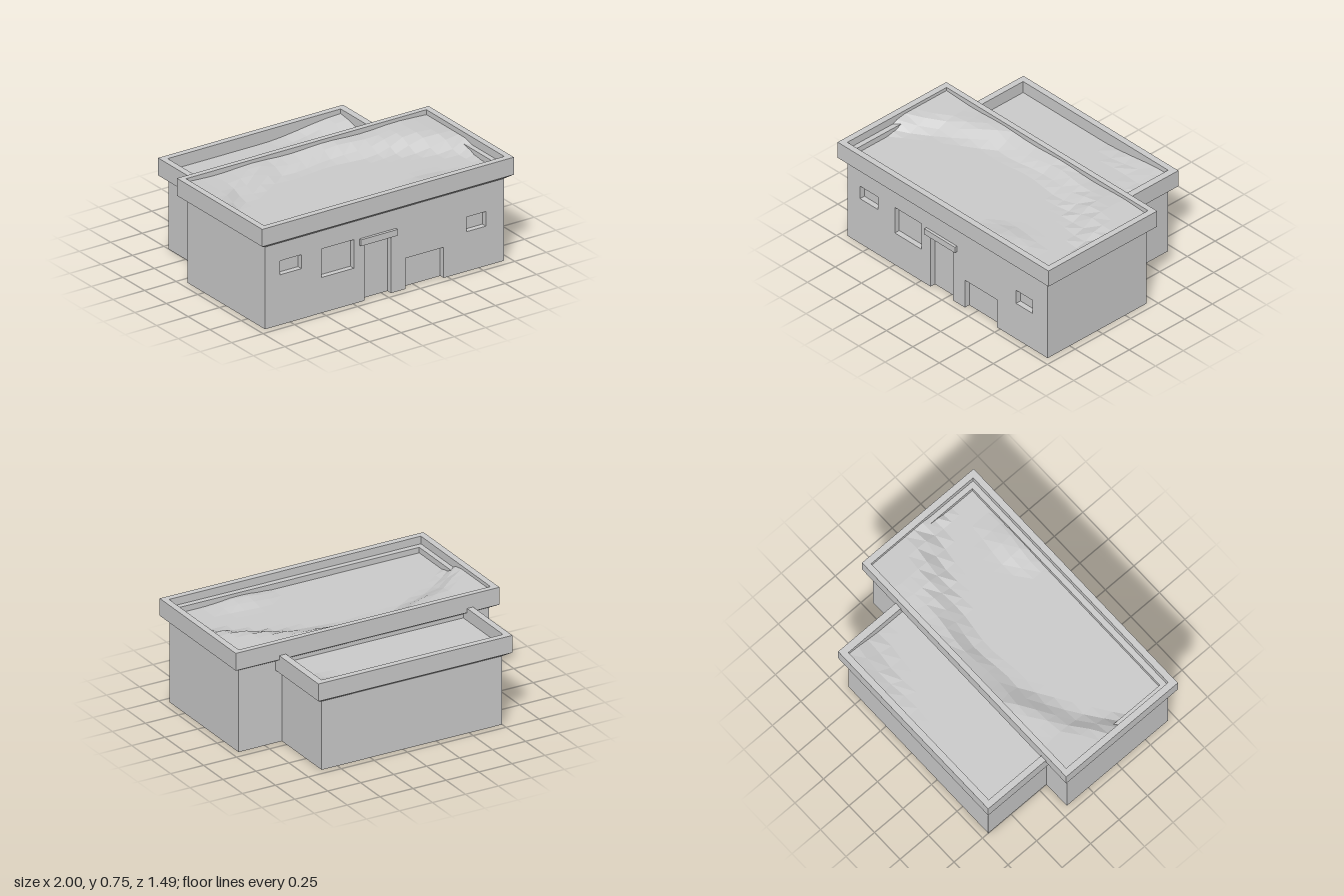
import * as THREE from 'three';

const mat = new THREE.MeshStandardMaterial({ color: 0xcccccc, flatShading: true, side: THREE.DoubleSide });

function add(parent, name, geometry) {
  const mesh = new THREE.Mesh(geometry, mat);
  mesh.name = name;
  parent.add(mesh);
  return mesh;
}

// Skin through stacked rectangles [x0, x1, z0, z1, y]; the last one is capped.
// openFront leaves out the front of the lowest band.
function rectLoft(sections, openFront = false) {
  const pos = [], index = [];
  sections.forEach(([x0, x1, z0, z1, y]) => pos.push(x0, y, z1, x1, y, z1, x1, y, z0, x0, y, z0));
  for (let s = 0; s < sections.length - 1; s++) {
    for (let k = 0; k < 4; k++) {
      if (openFront && s === 0 && k === 0) continue;
      const a = s * 4 + k, b = s * 4 + (k + 1) % 4;
      index.push(a, b, b + 4, a, b + 4, a + 4);
    }
  }
  const t = (sections.length - 1) * 4;
  index.push(t, t + 1, t + 2, t, t + 2, t + 3);
  const g = new THREE.BufferGeometry();
  g.setAttribute('position', new THREE.Float32BufferAttribute(pos, 3));
  g.setIndex(index);
  const flat = g.toNonIndexed();
  flat.computeVertexNormals();
  return flat;
}

// Heightfield over a rectangle, y = height(x, z), with slightly uneven grid points
function drift(x0, x1, z0, z1, nx, nz, height) {
  const g = new THREE.PlaneGeometry(x1 - x0, z1 - z0, nx, nz).rotateX(-Math.PI / 2);
  g.translate((x0 + x1) / 2, 0, (z0 + z1) / 2);
  const p = g.attributes.position;
  for (let i = 0; i < p.count; i++) {
    let x = p.getX(i), z = p.getZ(i);
    const inside = x > x0 + 0.01 && x < x1 - 0.01 && z > z0 + 0.01 && z < z1 - 0.01;
    if (inside) {
      x += 0.02 * Math.sin(i * 12.9);
      z += 0.015 * Math.sin(i * 7.3);
    }
    p.setXYZ(i, x, height(x, z), z);
  }
  const flat = g.toNonIndexed();
  flat.computeVertexNormals();
  return flat;
}

const ramp = (v, a, b) => THREE.MathUtils.smoothstep(v, a, b);

// Front edge of the main roof drift as [x, z] points
const edge = [[-0.96, 0.36], [-0.75, 0.14], [-0.3, -0.04], [0.12, -0.05], [0.5, 0.08], [0.8, 0.24], [0.96, 0.42]];
function edgeZ(x) {
  let i = 0;
  while (i < edge.length - 2 && x > edge[i + 1][0]) i++;
  const [ax, az] = edge[i], [bx, bz] = edge[i + 1];
  return az + (bz - az) * THREE.MathUtils.clamp((x - ax) / (bx - ax), 0, 1);
}

export function createModel() {
  const house = new THREE.Group();
  house.name = 'house';

  // Front openings: [name, x0, x1, y0, y1]
  const openings = [
    ['mainDoor', -0.16, 0.05, 0, 0.41],
    ['lowDoor', 0.165, 0.47, 0, 0.22],
    ['smallWindow', -0.83, -0.66, 0.36, 0.46],
    ['largeWindow', -0.5, -0.245, 0.255, 0.46],
    ['sideWindow', 0.65, 0.805, 0.285, 0.39],
  ];

  // Main block: walls, flared cornice, parapet, inner ledge and roof
  add(house, 'mainBlock', rectLoft([
    [-0.95, 0.95, -0.19, 0.7, 0],
    [-0.95, 0.95, -0.19, 0.7, 0.59],
    [-1, 1, -0.24, 0.74, 0.62],
    [-1, 1, -0.24, 0.74, 0.745],
    [-0.955, 0.955, -0.2, 0.695, 0.745],
    [-0.955, 0.955, -0.2, 0.695, 0.69],
    [-0.918, 0.918, -0.16, 0.655, 0.69],
    [-0.918, 0.918, -0.16, 0.655, 0.645],
  ], true));

  // Front wall outline notched by the doors, with window holes
  const wall = new THREE.Shape();
  wall.moveTo(-0.95, 0);
  for (const [, x0, x1, , y1] of openings.slice(0, 2)) {
    wall.lineTo(x0, 0).lineTo(x0, y1).lineTo(x1, y1).lineTo(x1, 0);
  }
  wall.lineTo(0.95, 0).lineTo(0.95, 0.59).lineTo(-0.95, 0.59);
  for (const [, x0, x1, y0, y1] of openings.slice(2)) {
    const hole = new THREE.Path();
    hole.moveTo(x0, y0).lineTo(x0, y1).lineTo(x1, y1).lineTo(x1, y0);
    wall.holes.push(hole);
  }
  add(house, 'frontWall', new THREE.ShapeGeometry(wall)).position.z = 0.7;

  // Recesses: boxes without a front, and without a floor at doors
  const depth = 0.04;
  for (const [name, x0, x1, y0, y1] of openings) {
    const g = new THREE.BoxGeometry(x1 - x0, y1 - y0, depth);
    const idx = Array.from(g.index.array);
    g.setIndex(idx.filter((_, i) => {
      const face = Math.floor(i / 6);
      return face !== 4 && !(face === 3 && y0 === 0);
    }));
    g.clearGroups();
    add(house, name, g).position.set((x0 + x1) / 2, (y0 + y1) / 2, 0.7 - depth / 2);
  }

  // Lintel over the main door
  add(house, 'doorLintel', new THREE.BoxGeometry(0.29, 0.045, 0.08)).position.set(-0.055, 0.432, 0.68);

  // Sand on the main roof: bank along the back and sides, low mound at the front
  add(house, 'mainRoofSand', drift(-0.955, 0.955, -0.2, 0.695, 18, 12, (x, z) => {
    const e = edgeZ(x);
    const bank = 0.065 * ramp(e - z, -0.03, 0.16);
    const r = Math.hypot((x - 0.45) / 0.28, (z - 0.6) / 0.17);
    return 0.65 + bank + 0.025 * (1 - ramp(r, 0, 1)) + 0.006 * Math.sin(x * 11) * ramp(e - z, 0, 0.1);
  }));

  // Rear block, set into the main block
  add(house, 'rearBlock', rectLoft([
    [-0.75, 0.62, -0.7, -0.19, 0],
    [-0.75, 0.62, -0.7, -0.19, 0.495],
    [-0.8, 0.67, -0.745, -0.19, 0.525],
    [-0.8, 0.67, -0.745, -0.19, 0.65],
    [-0.755, 0.62, -0.7, -0.19, 0.65],
    [-0.755, 0.62, -0.7, -0.19, 0.56],
  ]));

  // Sand gathered in one corner of the rear roof
  add(house, 'rearRoofSand', drift(-0.755, 0.62, -0.7, -0.19, 12, 6, (x, z) => {
    const d = (0.62 - x) / 0.62 + (z + 0.7) / 0.3;
    return 0.562 + 0.055 * (1 - ramp(d, 0, 1));
  }));

  return house;
}
